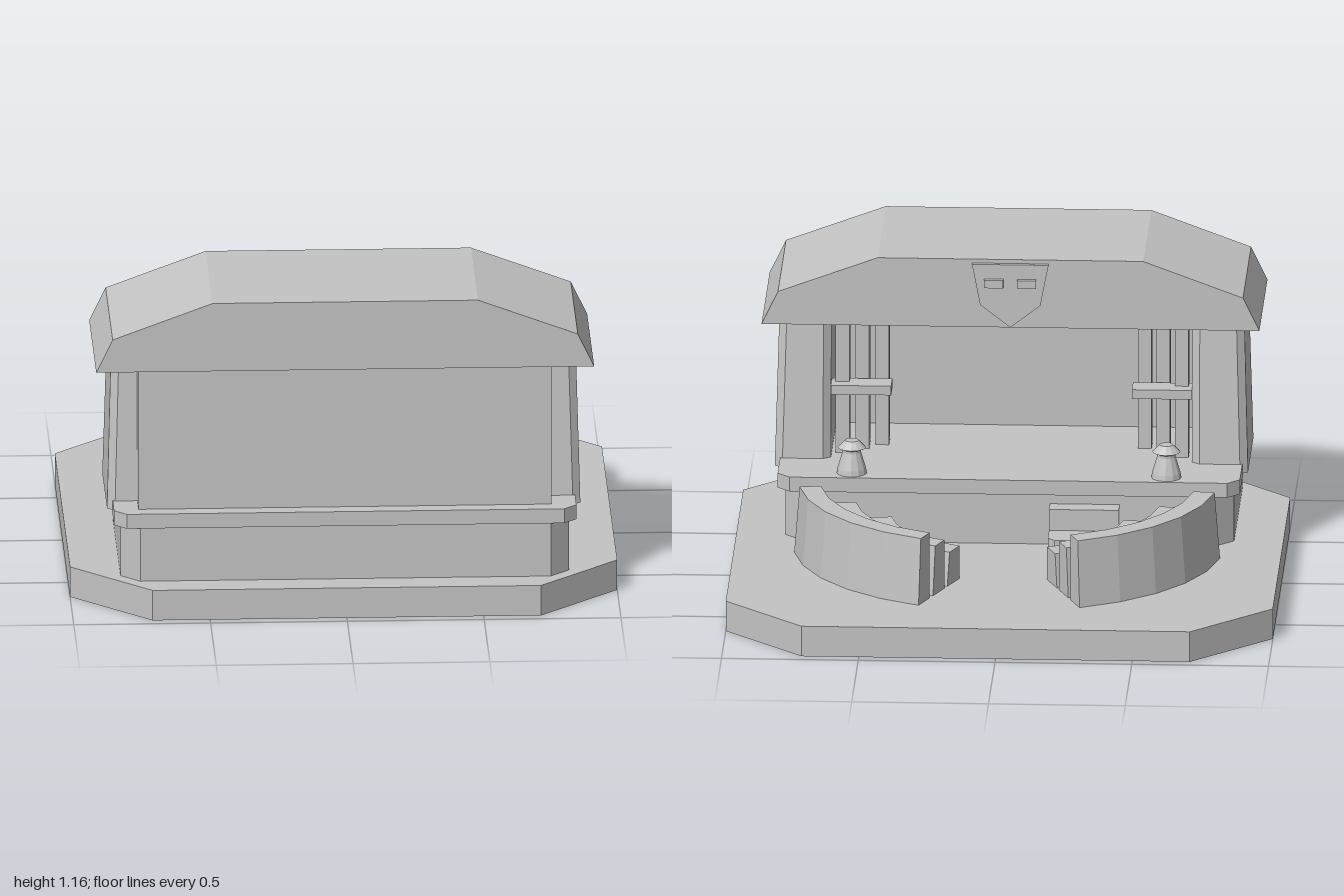
import * as THREE from 'three';

const stone = new THREE.MeshStandardMaterial({ color: 0xc4c4c4, side: THREE.DoubleSide, flatShading: true });
stone.name = 'grey stone';

function add(parent, name, geometry, x = 0, y = 0, z = 0) {
  const mesh = new THREE.Mesh(geometry, stone);
  mesh.name = name;
  mesh.position.set(x, y, z);
  parent.add(mesh);
  return mesh;
}

// Joins convex cross-sections, counterclockwise seen from the far end
function loft(sections, startCap = true, endCap = true) {
  const out = [];
  const tri = (a, b, c) => out.push(...a, ...b, ...c);
  const fan = (p) => { for (let i = 1; i < p.length - 1; i++) tri(p[0], p[i], p[i + 1]); };
  for (let i = 0; i < sections.length - 1; i++) {
    const s = sections[i], t = sections[i + 1];
    s.forEach((a, j) => {
      const k = (j + 1) % s.length;
      tri(a, s[k], t[k]);
      tri(a, t[k], t[j]);
    });
  }
  if (startCap) fan([...sections[0]].reverse());
  if (endCap) fan(sections[sections.length - 1]);
  const g = new THREE.BufferGeometry();
  g.setAttribute('position', new THREE.Float32BufferAttribute(out, 3));
  g.computeVertexNormals();
  return g;
}

// Horizontal rectangle with cut corners
function octagon(y, x0, x1, z0, z1, cx, cz) {
  return [[x1, z1 - cz], [x1, z0 + cz], [x1 - cx, z0], [x0 + cx, z0],
    [x0, z0 + cz], [x0, z1 - cz], [x0 + cx, z1], [x1 - cx, z1]].map(([x, z]) => [x, y, z]);
}

function plate(points, depth) {
  const shape = new THREE.Shape(points.map(([x, y]) => new THREE.Vector2(x, y)));
  return new THREE.ExtrudeGeometry(shape, { depth, bevelEnabled: false });
}

const mirrored = (half) => [...half, ...half.map(([x, y]) => [-x, y]).reverse()];

// Curved bench around the seating centre
function bench(parent, side, inner, outer, top) {
  const bottom = 0.115, steps = 5;
  const at = (i) => {
    const a = THREE.MathUtils.degToRad(8 + (60 * i) / steps);
    return (r, y) => [side * r * Math.cos(a), y, 0.04 - r * Math.sin(a)];
  };
  const sections = [];
  for (let i = 0; i <= steps; i++) {
    const p = at(i);
    const s = [p(outer, bottom), p(inner, bottom), p(inner, top), p(outer - 0.02, top)];
    sections.push(side > 0 ? s : s.reverse());
  }
  add(parent, 'bench', loft(sections));
  // end slabs sunk into the hollow base
  for (const i of [0, steps]) {
    const p = at(i);
    add(parent, 'benchFoot', loft([[p(outer, 0.06), p(inner, 0.06), p(inner, bottom), p(outer, bottom)]], false, true));
  }
}

export function createModel() {
  const model = new THREE.Group();
  model.name = 'openAirStage';

  // Hollow base, open underneath
  add(model, 'base', loft([0, 0.115].map((y) => octagon(y, -1, 1, -0.96, 0.96, 0.29, 0.29)), false, true));

  // Stage plinth and floor
  add(model, 'plinth', loft([0.115, 0.32].map((y) => octagon(y, -0.82, 0.82, 0.07, 0.85, 0.07, 0.07))));
  add(model, 'stageFloor', loft([0.32, 0.375].map((y) => octagon(y, -0.845, 0.845, 0.015, 0.858, 0.045, 0.045))));

  // Large closed wall
  add(model, 'rearWall', new THREE.BoxGeometry(1.51, 0.535, 0.12), 0, 0.64, 0.74);

  // Roof
  const roof = mirrored([[0.91, 0.905], [0.85, 1.03], [0.485, 1.165]]);
  add(model, 'roof', plate(roof, 0.62), 0, 0, 0.19);

  // Plain crest plate with two small blocks
  const crest = mirrored([[0, 0.91], [0.11, 0.995], [0.14, 1.15]]).slice(0, -1);
  add(model, 'crest', plate(crest, 0.02), 0, 0, 0.173);
  for (const s of [-1, 1]) {
    add(model, 'crestBlock', new THREE.BoxGeometry(0.07, 0.03, 0.02), s * 0.06, 1.08, 0.165);
  }

  const lampProfile = [[0.055, 0], [0.052, 0.02], [0.034, 0.08], [0.034, 0.09], [0.052, 0.098], [0.025, 0.125], [0, 0.125]]
    .map(([r, y]) => new THREE.Vector2(r, y));

  for (const s of [-1, 1]) {
    const half = new THREE.Group();
    half.name = s > 0 ? 'leftSide' : 'rightSide';
    model.add(half);

    // Tapered side pier
    const pier = (y, outer, z0, z1) =>
      octagon(y, Math.min(s * 0.66, s * outer), Math.max(s * 0.66, s * outer), z0, z1, 0.028, 0.022);
    add(half, 'sidePier', loft([pier(0.34, 0.865, 0.24, 0.7), pier(0.91, 0.85, 0.28, 0.665)]));

    // Stepped posts and crossbar beside the pier
    for (let i = 0; i < 3; i++) {
      add(half, 'wingPost', new THREE.BoxGeometry(0.05, 0.535, 0.08), s * (0.62 - i * 0.07), 0.64, 0.36 + i * 0.05);
    }
    add(half, 'crossbar', new THREE.BoxGeometry(0.22, 0.035, 0.09), s * 0.55, 0.63, 0.315);

    // Footlight
    add(half, 'footlight', new THREE.LatheGeometry(lampProfile, 12), s * 0.575, 0.375, 0.08);

    // Three rows of seating
    bench(half, s, 0.688, 0.786, 0.365);
    bench(half, s, 0.56, 0.66, 0.3);
    bench(half, s, 0.428, 0.535, 0.24);
  }

  // Steps up to the stage
  const step = [[-0.15, 0.03], [-0.15, -0.095], [-0.175, -0.12], [-0.38, -0.12], [-0.405, -0.095], [-0.405, 0.03]];
  add(model, 'lowerStep', loft([0.115, 0.19].map((y) => step.map(([x, z]) => [x, y, z]))));
  add(model, 'upperStep', new THREE.BoxGeometry(0.255, 0.155, 0.075), -0.2775, 0.1925, 0.0375);

  return model;
}
